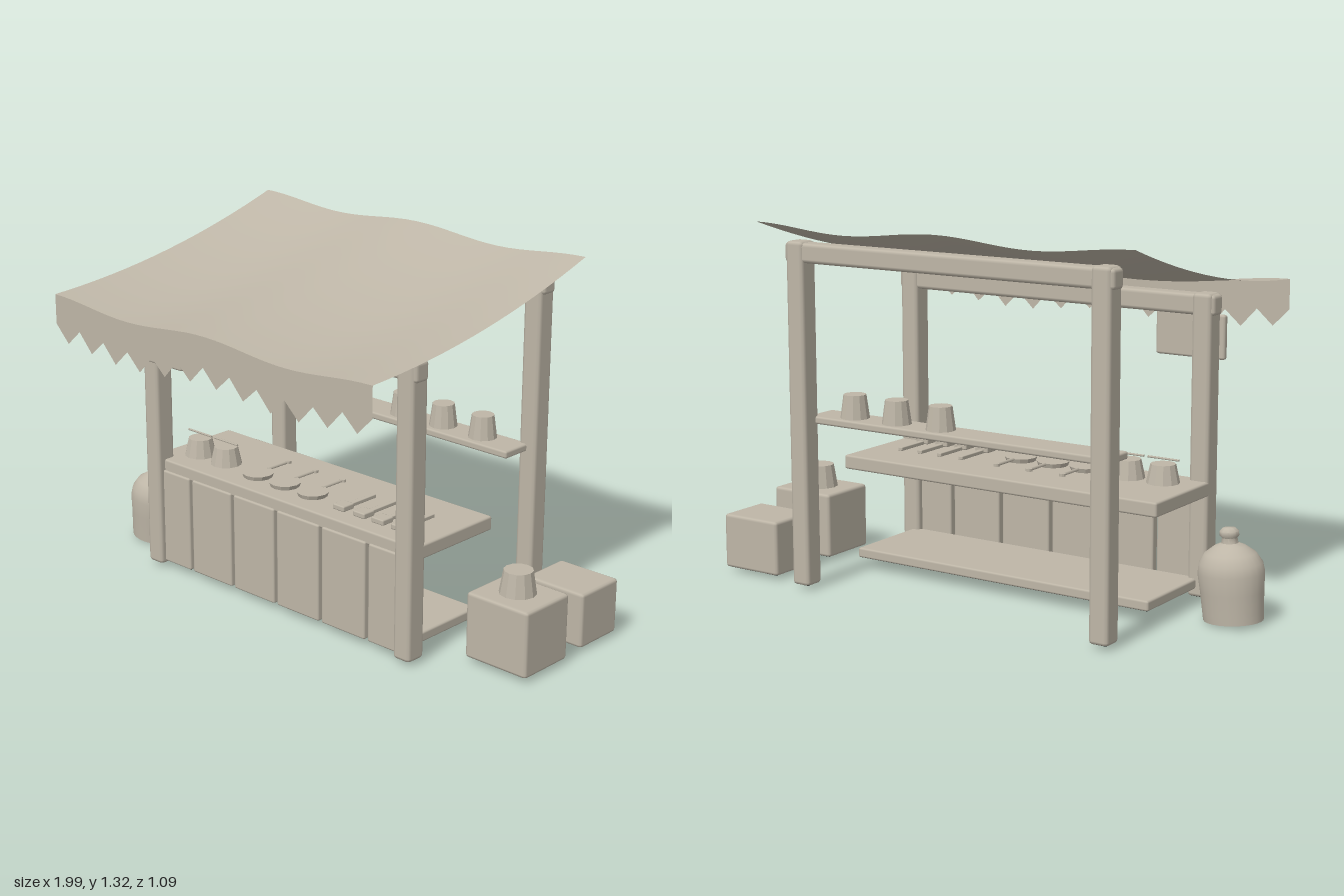
import * as THREE from 'three';
import { RoundedBoxGeometry } from 'three/addons/geometries/RoundedBoxGeometry.js';
import { toCreasedNormals } from 'three/addons/utils/BufferGeometryUtils.js';

const CX = -0.034;           // centre line of the stall
const WIDTH = 1.543;         // canopy width
const FRONT = 0.542;         // canopy front edge
const TOP = 0.437;           // counter height

export function createModel() {
  const group = new THREE.Group();
  const wood = new THREE.MeshStandardMaterial({ color: 0xbeb6a7 });
  wood.name = 'warm grey';
  const cloth = new THREE.MeshStandardMaterial({ color: 0xbeb6a7, side: THREE.DoubleSide });
  cloth.name = 'warm grey cloth';
  const dark = new THREE.MeshStandardMaterial({ color: 0x363534 });
  dark.name = 'charcoal underside';
  const darkBottom = [wood, wood, wood, dark, wood, wood];

  const add = (name, geometry, x = 0, y = 0, z = 0, material = wood) => {
    const mesh = new THREE.Mesh(geometry, material);
    mesh.name = name;
    mesh.position.set(x, y, z);
    group.add(mesh);
    return mesh;
  };
  // Bevelled box given by its limits on each axis
  const box = (name, x0, x1, y0, y1, z0, z1, bevel = 0.008, material = wood) =>
    add(name, new RoundedBoxGeometry(x1 - x0, y1 - y0, z1 - z0, 1, bevel),
      (x0 + x1) / 2, (y0 + y1) / 2, (z0 + z1) / 2, material);
  // Tapered pot standing on height y
  const pot = (name, x, y, z, rTop, rBottom, h) =>
    add(name, toCreasedNormals(new THREE.CylinderGeometry(rTop, rBottom, h, 12), 0.4), x, y + h / 2, z);

  // Frame: posts and cross beams
  for (const x of [-0.6625, 0.5925]) {
    box('frontPost', x - 0.0375, x + 0.0375, 0.015, 1.098, 0.148, 0.228, 0.014, darkBottom);
    box('backPost', x - 0.0375, x + 0.0375, 0.015, 1.262, -0.518, -0.44, 0.014, darkBottom);
  }
  box('frontBeam', -0.71, 0.64, 1.02, 1.094, 0.156, 0.222, 0.014);
  box('backBeam', -0.71, 0.64, 1.186, 1.257, -0.512, -0.446, 0.014);

  // Counter, shelves and front boards
  box('counterTop', -0.7, 0.63, 0.384, TOP, -0.207, 0.198);
  box('lowerShelf', -0.66, 0.59, 0.045, 0.083, -0.185, 0.175, 0.008, darkBottom);
  box('backShelf', -0.66, 0.59, 0.605, 0.633, -0.46, -0.325);
  for (let i = 0; i < 6; i++) {
    const x = CX + (i - 2.5) * 0.2225;
    box('frontBoard', x - 0.104, x + 0.104, 0.026, 0.395, 0.172, 0.206, 0.007, darkBottom);
  }

  // Canopy height: rises to the back and waves across the width
  const canopyY = (x, z) => {
    const t = (FRONT - z) / 1.085;
    return 1.103 + 0.051 * t + 0.158 * t * t + 0.0135 * Math.cos((x - CX) * 4 * Math.PI / WIDTH);
  };
  const roof = new THREE.PlaneGeometry(WIDTH, 1.085, 32, 16).rotateX(-Math.PI / 2).translate(CX, 0, 0);
  const p = roof.attributes.position;
  for (let i = 0; i < p.count; i++) p.setY(i, canopyY(p.getX(i), p.getZ(i)));
  roof.computeVertexNormals();
  add('canopy', roof, 0, 0, 0, cloth);

  // Zigzag valance hanging from the front edge
  const TEETH = 12, edge = new THREE.Shape();
  for (let i = 0; i <= TEETH * 4; i++) {
    const x = CX + WIDTH * (i / (TEETH * 4) - 0.5);
    edge[i ? 'lineTo' : 'moveTo'](x, canopyY(x, FRONT));
  }
  for (let i = TEETH * 2; i >= 0; i--) {
    const x = CX + WIDTH * (i / (TEETH * 2) - 0.5);
    edge.lineTo(x, canopyY(x, FRONT) - (i % 2 ? 0.172 : 0.11));
  }
  add('valance', new THREE.ShapeGeometry(edge), 0, 0, FRONT, cloth);

  // Hanging sign with a thin raised plate
  box('signBoard', -0.692, -0.415, 0.85, 1.01, 0.27, 0.295, 0.009);
  box('signPlate', -0.63, -0.48, 0.9, 0.965, 0.294, 0.303, 0.002);
  for (const x of [-0.64, -0.467]) {
    add('signCord', new THREE.CylinderGeometry(0.003, 0.003, 0.1, 6), x, 1.03, 0.282);
  }

  // Cups on the back shelf
  for (const x of [0.05, 0.24, 0.425]) pot('shelfCup', x, 0.633, -0.396, 0.041, 0.053, 0.085);

  // Counter pots, each with a rod above it
  for (const x of [-0.57, -0.43]) {
    pot('counterPot', x, TOP, 0.065, 0.045, 0.06, 0.068);
    add('stirringRod', new THREE.CylinderGeometry(0.004, 0.004, 0.125, 6).rotateZ(Math.PI / 2), x, 0.523, 0.065);
  }
  // Shallow pans with rod handles ending in a small disc
  for (const x of [-0.245, -0.105, 0.035]) {
    pot('pan', x, TOP, 0.08, 0.06, 0.054, 0.016);
    add('panHandle', new THREE.CylinderGeometry(0.006, 0.006, 0.11, 6).rotateX(Math.PI / 2), x, 0.45, -0.025);
    pot('handleEnd', x, 0.445, -0.078, 0.012, 0.012, 0.01);
  }
  // Row of utensils
  for (const x of [0.215, 0.312, 0.4, 0.49]) {
    box('utensilHead', x - 0.028, x + 0.028, 0.442, 0.463, 0.085, 0.14, 0.005);
    box('utensilHandle', x - 0.01, x + 0.01, 0.44, 0.454, -0.05, 0.09, 0.003);
  }

  // Crates beside the stall
  box('frontCrate', 0.733, 0.997, 0.018, 0.262, -0.178, 0.053, 0.012, darkBottom);
  box('backCrate', 0.735, 0.985, 0.016, 0.22, -0.48, -0.274, 0.012, darkBottom);
  pot('crateCup', 0.863, 0.262, -0.065, 0.052, 0.066, 0.085);

  // Leaning jug with a stopper and a dark base
  const profile = [[0.106, 0], [0.108, 0.03], [0.112, 0.1], [0.118, 0.165], [0.112, 0.2], [0.091, 0.233],
    [0.055, 0.258], [0.03, 0.268], [0.027, 0.286], [0.034, 0.294], [0.034, 0.309], [0.022, 0.32], [0, 0.322]];
  const jug = add('jug', toCreasedNormals(
    new THREE.LatheGeometry(profile.map(([r, y]) => new THREE.Vector2(r, y)), 24), 0.9), -0.883, 0.009, 0.014);
  const base = new THREE.Mesh(new THREE.CircleGeometry(0.106, 24).rotateX(Math.PI / 2), dark);
  base.name = 'jugBase';
  jug.add(base);
  jug.scale.z = 0.9;
  jug.rotation.z = -0.075;

  return group;
}
